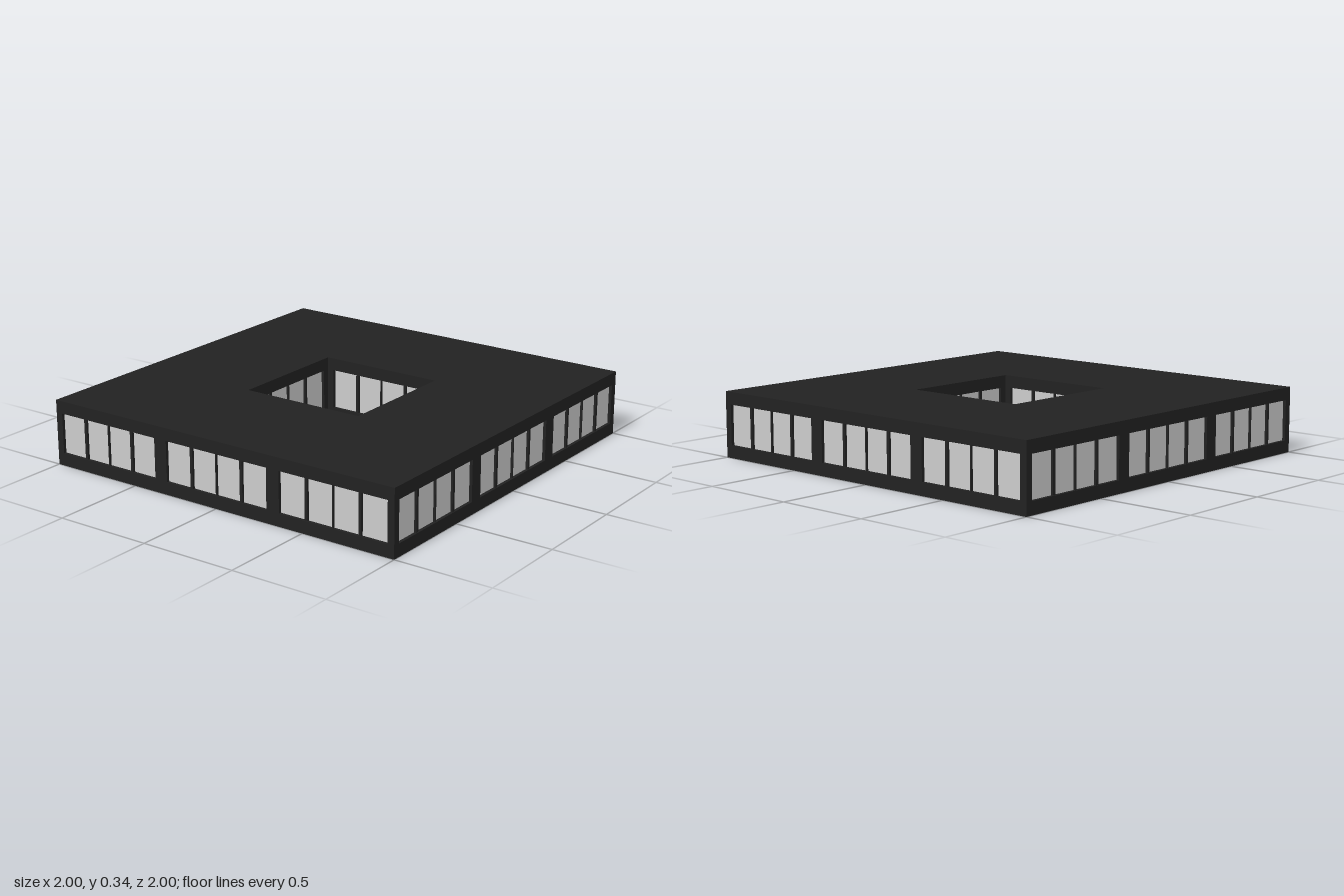
import * as THREE from 'three';

const HALF = 1, HOLE = 0.333, BAY = 2 / 3, HEIGHT = 0.335;
const SILL = 0.064, HEAD = 0.271, RECESS = 0.016;
const DEPTH = 0.036, POST = 0.072;

const dark = new THREE.MeshStandardMaterial({ color: 0x222222 });
const grey = new THREE.MeshStandardMaterial({ color: 0xcccccc });

function box(name, material, w, h, d, x, y, z) {
  const mesh = new THREE.Mesh(new THREE.BoxGeometry(w, h, d), material);
  mesh.name = name;
  mesh.position.set(x, y, z);
  return mesh;
}

// Square slab with a square courtyard opening
function slab(name, bottom, top) {
  const square = (Type, r) => new Type([[-r, -r], [r, -r], [r, r], [-r, r]].map(([x, y]) => new THREE.Vector2(x, y)));
  const shape = square(THREE.Shape, HALF);
  shape.holes.push(square(THREE.Path, HOLE));
  const geometry = new THREE.ExtrudeGeometry(shape, { depth: top - bottom, bevelEnabled: false });
  geometry.rotateX(-Math.PI / 2);
  const mesh = new THREE.Mesh(geometry, dark);
  mesh.name = name;
  mesh.position.y = bottom;
  return mesh;
}

// One four-pane window, facing +z with its wall face at z = 0
function windowBay() {
  const bay = new THREE.Group();
  bay.name = 'windowBay';
  const h = HEAD - SILL, y = (HEAD + SILL) / 2;
  for (const s of [-1, 1]) {
    for (const [a, b] of [[0.003, 0.14], [0.155, 0.298]]) {
      bay.add(box('pane', grey, b - a, h, 0.01, s * (a + b) / 2, y, -RECESS - 0.005));
    }
    bay.add(box('mullion', dark, 0.015, h, 0.02, s * 0.1475, y, -0.014));
  }
  bay.add(box('centreMullion', dark, 0.006, h, 0.02, 0, y, -0.014));
  return bay;
}

export function createModel() {
  const model = new THREE.Group();
  model.name = 'courtyardBuilding';
  model.add(slab('floorSlab', 0, SILL), slab('roofSlab', HEAD, HEIGHT));

  const h = HEAD - SILL, y = (HEAD + SILL) / 2;
  for (let side = 0; side < 4; side++) {
    const facade = new THREE.Group();
    facade.name = 'facade';
    facade.rotation.y = side * Math.PI / 2;

    // Outer windows
    for (const i of [-1, 0, 1]) {
      const bay = windowBay();
      bay.position.set(i * BAY, 0, HALF);
      facade.add(bay);
    }

    // Posts between the outer bays and at one outer corner
    for (const s of [-1, 1]) {
      facade.add(box('post', dark, POST, h, DEPTH, s * BAY / 2, y, HALF - DEPTH / 2));
    }
    facade.add(box('cornerPost', dark, DEPTH, h, DEPTH, HALF - DEPTH / 2, y, HALF - DEPTH / 2));

    // Courtyard window, facing the centre
    const inner = windowBay();
    inner.position.z = -HOLE;
    facade.add(inner);

    // Courtyard corner: an L of two short wall pieces
    const c = HOLE - 0.0175;
    facade.add(box('courtyardPost', dark, 0.035, h, DEPTH, c, y, HOLE + DEPTH / 2));
    facade.add(box('courtyardPost', dark, DEPTH, h, 0.035, HOLE + DEPTH / 2, y, c));
    model.add(facade);
  }
  return model;
}
